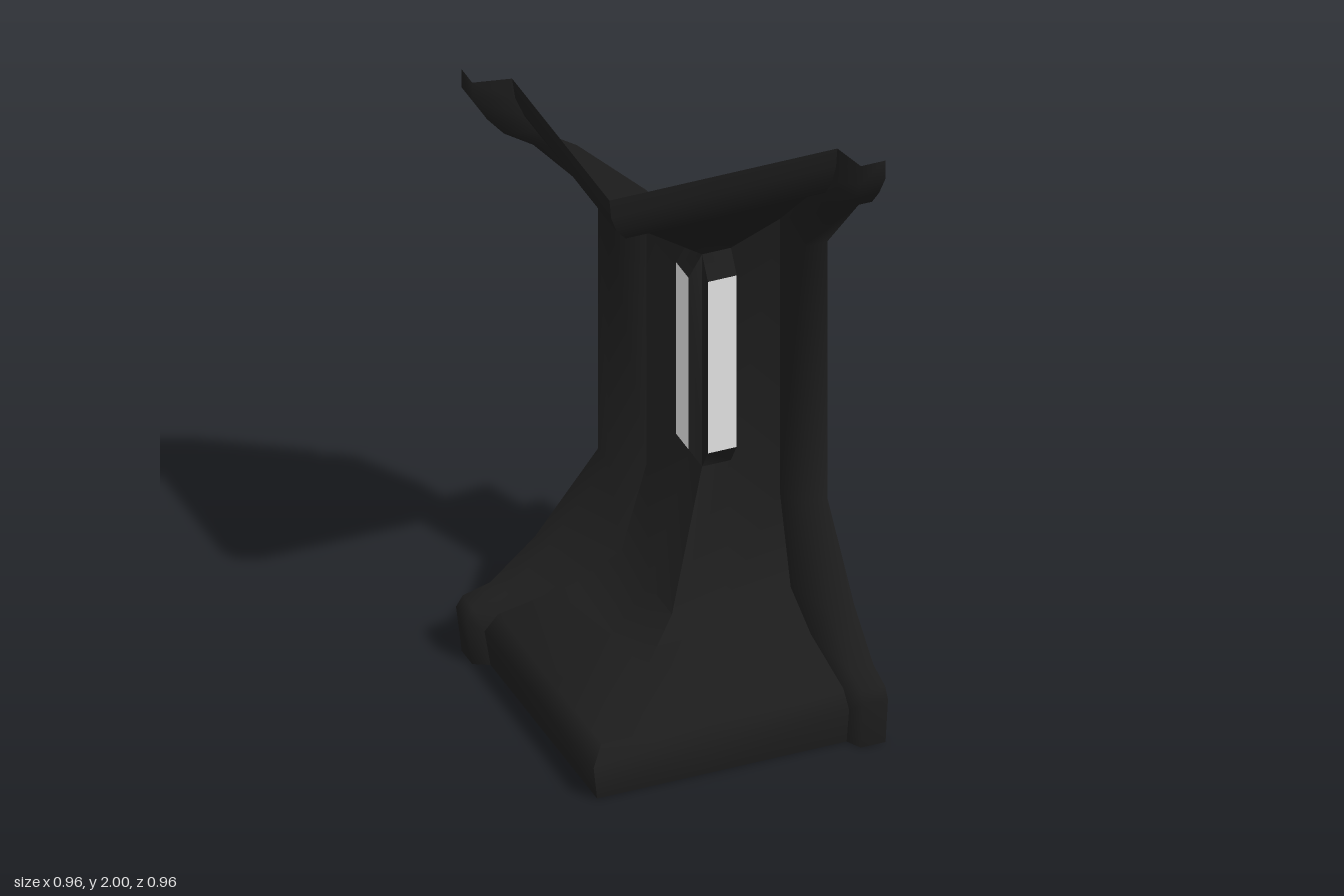
import * as THREE from 'three';
import { toCreasedNormals } from 'three/addons/utils/BufferGeometryUtils.js';

// Profiles from top to bottom, as [reach, height]
const EDGE = [[-0.46, 2], [-0.46, 1.938], [-0.413, 1.862], [-0.36, 1.8], [-0.267, 1.738], [-0.029, 1.47],
  [-0.029, 0.59], [-0.228, 0.337], [-0.37, 0.214], [-0.457, 0.19], [-0.478, 0.157], [-0.46, 0]];
const FACE = [[-0.345, 2], [-0.335, 1.93], [-0.305, 1.86], [-0.255, 1.795], [-0.14, 1.72], [0.08, 1.51],
  [0.08, 0.57], [0, 0.29], [-0.15, 0.215], [-0.39, 0.168], [-0.432, 0.12], [-0.413, 0]];
const TOP = 5, BOTTOM = 6; // rows bounding the straight column
const CORNER = 0.166, SLOT = 0.257, DEPTH = 0.043;

// One row of the sheet, from the rear flange to the diagonal corner
function row(i) {
  const [e, ey] = EDGE[i], [u, y] = FACE[i];
  const pts = [[e, ey, -0.478], [e, ey, -0.4], [u, y, -0.375]];
  if (i === TOP || i === BOTTOM) {
    const cy = i === TOP ? 1.39 : 0.66;
    pts.push([CORNER, cy, -SLOT], [CORNER, cy, -CORNER]);
  } else {
    pts.push([u, y, -0.375 + (0.375 - u) * 0.55], [u, y, -u]);
  }
  return pts;
}

// Quads [topLeft, bottomLeft, bottomRight, topRight], mirrored across the diagonal
function sheet(quads, crease) {
  const pos = [];
  const mirror = ([x, y, z]) => [-z, y, -x];
  for (const [a, b, c, d] of quads) {
    pos.push(...a, ...b, ...c, ...a, ...c, ...d);
    const [ma, mb, mc, md] = [a, b, c, d].map(mirror);
    pos.push(...ma, ...mc, ...mb, ...ma, ...md, ...mc);
  }
  const g = new THREE.BufferGeometry();
  g.setAttribute('position', new THREE.Float32BufferAttribute(pos, 3));
  return toCreasedNormals(g, crease);
}

export function createModel() {
  const group = new THREE.Group();
  const dark = new THREE.MeshStandardMaterial({ color: 0x1c1c1c, side: THREE.DoubleSide });
  dark.name = 'dark shell';
  const light = new THREE.MeshStandardMaterial({ color: 0xe0e0e0, side: THREE.DoubleSide });
  light.name = 'light panel';

  const rows = EDGE.map((_, i) => row(i));
  const add = (name, quads, crease, material = dark) => {
    const mesh = new THREE.Mesh(sheet(quads, crease), material);
    mesh.name = name;
    group.add(mesh);
  };
  const patch = (r0, r1, c0, c1) => {
    const quads = [];
    for (let r = r0; r < r1; r++) for (let c = c0; c < c1; c++) {
      quads.push([rows[r][c], rows[r + 1][c], rows[r + 1][c + 1], rows[r][c + 1]]);
    }
    return quads;
  };
  const last = EDGE.length - 1;

  add('edgeFlanges', patch(0, last, 0, 2), 1.5);
  add('canopy', patch(0, TOP, 2, 4), 0.8);
  add('columnAndBase', [...patch(TOP, BOTTOM, 2, 3), ...patch(BOTTOM, last, 2, 4)], 1);

  // Recessed lamp housings on either side of the corner
  const ring = (x, y0, y1) => [[x, y1, -SLOT], [x, y0, -SLOT], [x, y0, -CORNER], [x, y1, -CORNER]];
  const outer = ring(CORNER, 0.66, 1.39);
  const inner = ring(CORNER - DEPTH, 0.73, 1.32);
  add('lampHousings', outer.map((p, i) => {
    const j = (i + 1) % 4;
    return [p, outer[j], inner[j], inner[i]];
  }), 0.6);
  add('lampPanels', [inner], 0.6, light);

  return group;
}
